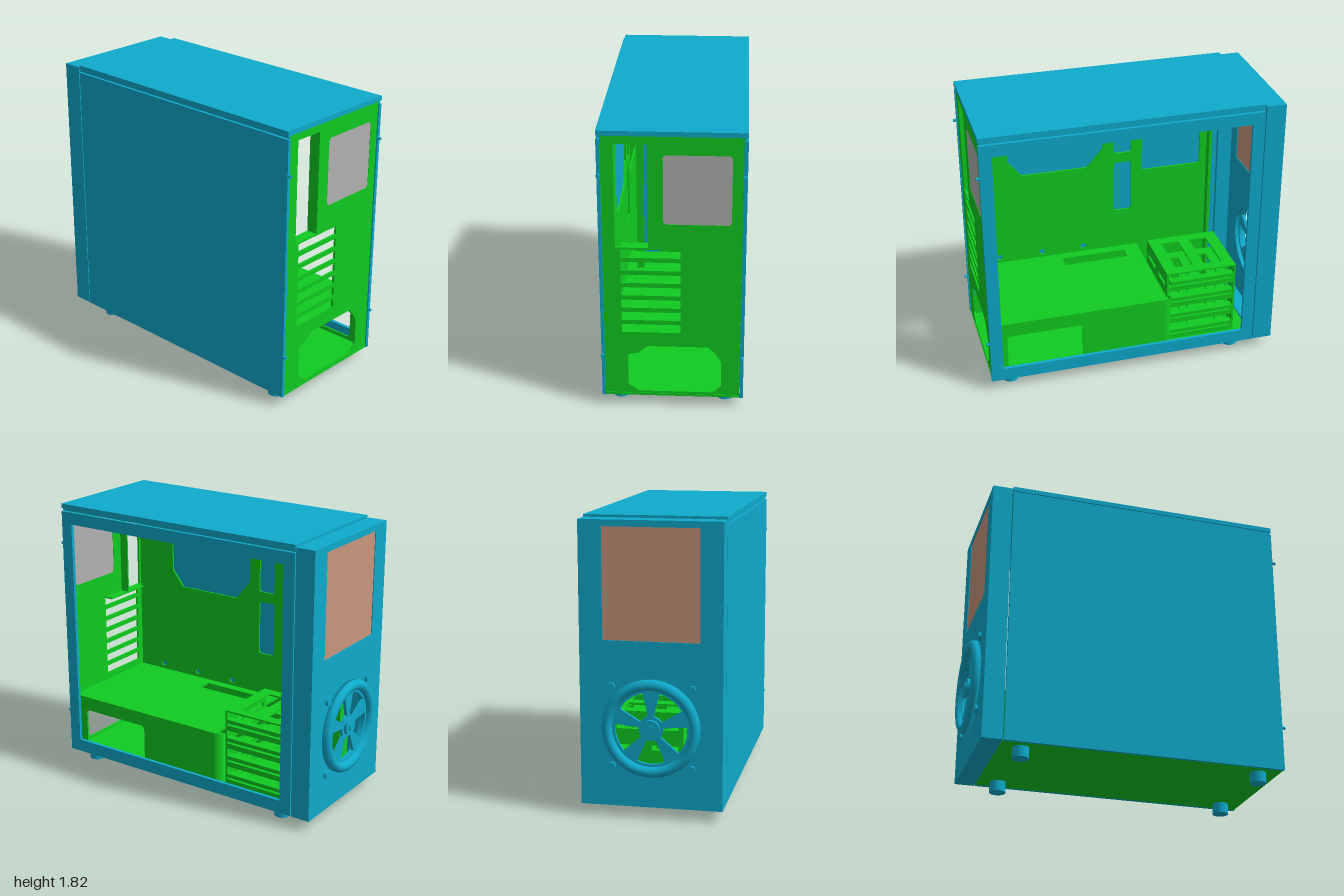
import * as THREE from 'three';

const mat = (color) => new THREE.MeshStandardMaterial({ color, side: THREE.DoubleSide });

export function createModel() {
  const root = new THREE.Group();
  const blue = mat(0x0faacc), green = mat(0x10cc20), tan = mat(0xc8967d), grey = mat(0xb2b2b2);

  const add = (name, geo, m, x = 0, y = 0, z = 0) => {
    const mesh = new THREE.Mesh(geo, m);
    mesh.name = name;
    mesh.position.set(x, y, z);
    root.add(mesh);
    return mesh;
  };
  // box given by its lower and upper corners
  const box = (name, m, x0, x1, y0, y1, z0, z1) =>
    add(name, new THREE.BoxGeometry(x1 - x0, y1 - y0, z1 - z0), m, (x0 + x1) / 2, (y0 + y1) / 2, (z0 + z1) / 2);

  // outlines used for plates and their holes
  const poly = (pts) => new THREE.Shape(pts.map((p) => new THREE.Vector2(p[0], p[1])));
  const rect = (a0, a1, b0, b1, c = 0) => (c
    ? poly([[a0 + c, b0], [a1 - c, b0], [a1, b0 + c], [a1, b1 - c], [a1 - c, b1], [a0 + c, b1], [a0, b1 - c], [a0, b0 + c]])
    : poly([[a0, b0], [a1, b0], [a1, b1], [a0, b1]]));
  const circle = (x, y, r) => new THREE.Shape().absarc(x, y, r, 0, Math.PI * 2);

  // plate facing z (outline x,y), facing x (outline z,y) or facing y (outline x,z);
  // x and y plates grow downwards from "at", z plates grow upwards
  const plate = (name, m, axis, at, depth, outline, holes = []) => {
    outline.holes = holes;
    const geo = new THREE.ExtrudeGeometry(outline, { depth, bevelEnabled: false, curveSegments: 32 });
    const mesh = add(name, geo, m);
    mesh.position[axis] = at;
    if (axis === 'x') mesh.rotation.y = -Math.PI / 2;
    if (axis === 'y') mesh.rotation.x = Math.PI / 2;
    return mesh;
  };

  // outer shell
  box('solidSidePanel', blue, -0.815, 0.98, 0.07, 1.77, 0.412, 0.432);
  plate('windowSidePanel', blue, 'z', -0.437, 0.022, rect(-0.815, 0.98, 0.07, 1.77), [rect(-0.737, 0.9, 0.155, 1.69)]);
  box('topPanel', blue, -0.815, 0.98, 1.79, 1.82, -0.437, 0.432);
  for (const z of [-0.427, 0.412]) box('topPanelRim', blue, -0.815, 0.975, 1.775, 1.79, z, z + 0.012);
  plate('bottomPlate', green, 'y', 0.085, 0.015, rect(-0.82, 0.975, -0.414, 0.411));

  // feet and thumb screws
  for (const z of [-0.325, 0.325]) {
    for (const x of [-0.69, 0.84]) add('foot', new THREE.CylinderGeometry(0.052, 0.052, 0.07, 32), blue, x, 0.035, z);
  }
  for (const z of [-0.42, 0.425]) {
    for (const y of [0.355, 1.55]) {
      const screw = add('thumbScrew', new THREE.CylinderGeometry(0.01, 0.01, 0.025, 16), blue, 0.9875, y, z);
      screw.rotation.z = Math.PI / 2;
    }
  }

  // front bezel: face plate with drive window and fan hole, plus a rim behind it
  const fanY = 0.565;
  plate('bezelFace', blue, 'x', -0.92, 0.03, rect(-0.437, 0.432, 0.07, 1.805),
    [rect(-0.295, 0.295, 1.09, 1.765), circle(0, fanY, 0.24)]);
  plate('bezelRim', blue, 'x', -0.822, 0.098, rect(-0.437, 0.432, 0.07, 1.805), [rect(-0.405, 0.4, 0.095, 1.775)]);
  box('driveBayCover', tan, -0.945, -0.925, 1.09, 1.765, -0.295, 0.295);

  // fan grille
  const ringProfile = [[0.235, 0], [0.3, 0], [0.3, 0.025], [0.292, 0.04], [0.275, 0.05], [0.255, 0.05], [0.238, 0.035], [0.235, 0]];
  const ring = add('fanRing', new THREE.LatheGeometry(ringProfile.map((p) => new THREE.Vector2(...p)), 64), blue, -0.95, fanY, 0);
  ring.rotation.z = Math.PI / 2;
  const wedges = [];
  for (let i = 0; i < 5; i++) {
    const mid = Math.PI / 2 + (i + 0.5) * Math.PI * 0.4;
    const half = 0.4;
    const s = new THREE.Shape();
    s.absarc(0, fanY, 0.22, mid - half, mid + half, false);
    s.absarc(0, fanY, 0.075, mid + half, mid - half, true);
    s.closePath();
    wedges.push(s);
  }
  plate('fanSpokes', blue, 'x', -0.945, 0.02, circle(0, fanY, 0.24), wedges);
  for (const [r, len] of [[0.055, 0.035], [0.025, 0.045]]) {
    const hub = add('fanHub', new THREE.CylinderGeometry(r, r, len, 32), blue, -0.95 - len / 2, fanY, 0);
    hub.rotation.z = Math.PI / 2;
  }
  for (const dy of [-0.245, 0.245]) {
    for (const dz of [-0.245, 0.245]) {
      const bolt = add('fanBolt', new THREE.CylinderGeometry(0.025, 0.025, 0.02, 24), blue, -0.958, fanY + dy, dz);
      bolt.rotation.z = Math.PI / 2;
    }
  }

  // rear wall with port plate, tall opening, card slots and power supply opening
  const slots = [];
  for (let i = 0; i < 7; i++) slots.push(rect(-0.05, 0.305, 0.515 + i * 0.084, 0.57 + i * 0.084));
  plate('rearWall', green, 'x', 0.972, 0.014, rect(-0.414, 0.411, 0.07, 1.79), [
    ...slots,
    rect(0.14, 0.335, 1.085, 1.74),
    rect(-0.35, 0.05, 1.24, 1.675, 0.015),
    poly([[-0.3, 0.14], [-0.27, 0.11], [-0.24, 0.1], [0.2, 0.1], [0.27, 0.15], [0.27, 0.36], [0.21, 0.37], [0.15, 0.42], [-0.22, 0.42], [-0.26, 0.38], [-0.3, 0.32]]),
  ]);
  plate('portPlate', grey, 'x', 0.97, 0.01, rect(-0.35, 0.05, 1.24, 1.675, 0.015));
  box('slotLedge', green, 0.9, 0.96, 1.075, 1.085, -0.05, 0.305);
  box('openingFlange', green, 0.9, 0.96, 1.085, 1.74, 0.13, 0.14);

  // motherboard tray with cable cutouts
  plate('motherboardTray', green, 'z', 0.352, 0.012, rect(-0.73, 0.96, 0.085, 1.775), [
    poly([[0.13, 1.12], [0.58, 1.12], [0.67, 1.23], [0.67, 1.62], [0.56, 1.73], [0.18, 1.73], [0.02, 1.6], [0.02, 1.25]]),
    rect(-0.18, -0.06, 1.2, 1.59, 0.01),
    rect(-0.18, -0.06, 0.76, 1.13, 0.01),
    rect(-0.67, -0.255, 1.41, 1.65, 0.01),
    rect(-0.67, -0.255, 1.05, 1.36, 0.01),
    ...[0.756, 0.457, 0.165].map((x) => circle(x, 0.51, 0.02)),
  ]);
  box('trayFlange', green, -0.74, -0.72, 0.085, 1.775, 0.3, 0.411);
  box('frontTopRail', green, -0.8, -0.76, 1.71, 1.785, -0.41, 0.411);

  // power supply shroud with rounded front corner
  plate('shroudTop', green, 'y', 0.47, 0.014, rect(-0.22, 0.958, -0.4, 0.352), [rect(-0.11, 0.33, 0.2, 0.29)]);
  plate('shroudSide', green, 'z', -0.4, 0.012, rect(-0.2, 0.958, 0.085, 0.465), [rect(0.36, 0.86, 0.11, 0.375, 0.015)]);
  const corner = add('shroudCorner', new THREE.CylinderGeometry(0.05, 0.05, 0.38, 16, 1, true, Math.PI, Math.PI / 2), green, -0.2, 0.275, -0.35);
  corner.name = 'shroudCorner';

  // drive cage: slotted end walls, slotted shelves and front lips
  const [cx0, cx1, cz0, cz1, pitch] = [-0.72, -0.24, -0.31, 0.15, 0.13];
  const wallSlots = () => {
    const list = [];
    for (let i = 0; i < 4; i++) {
      const y = 0.1 + i * pitch;
      list.push(rect(-0.27, -0.12, y, y + 0.03), rect(-0.05, 0.12, y, y + 0.03));
    }
    return list;
  };
  for (const x of [cx0 + 0.012, cx1]) plate('cageEndWall', green, 'x', x, 0.012, rect(cz0, cz1, 0.085, 0.6), wallSlots());
  for (let i = 0; i < 5; i++) {
    const y = 0.085 + i * pitch * 0.98;
    plate('cageShelf', green, 'y', y + 0.01, 0.01, rect(cx0, cx1, cz0, cz1),
      [rect(cx0 + 0.08, cx0 + 0.2, -0.24, 0.08), rect(cx1 - 0.2, cx1 - 0.08, -0.24, 0.08)]);
    if (i < 4) {
      box('cageLip', green, cx0, cx1, y + 0.01, y + 0.035, cz0, cz0 + 0.012);
      box('driveTray', green, cx0 + 0.02, cx1 - 0.02, y + 0.06, y + 0.085, cz0 - 0.02, cz0 + 0.03);
    }
  }
  return root;
}
